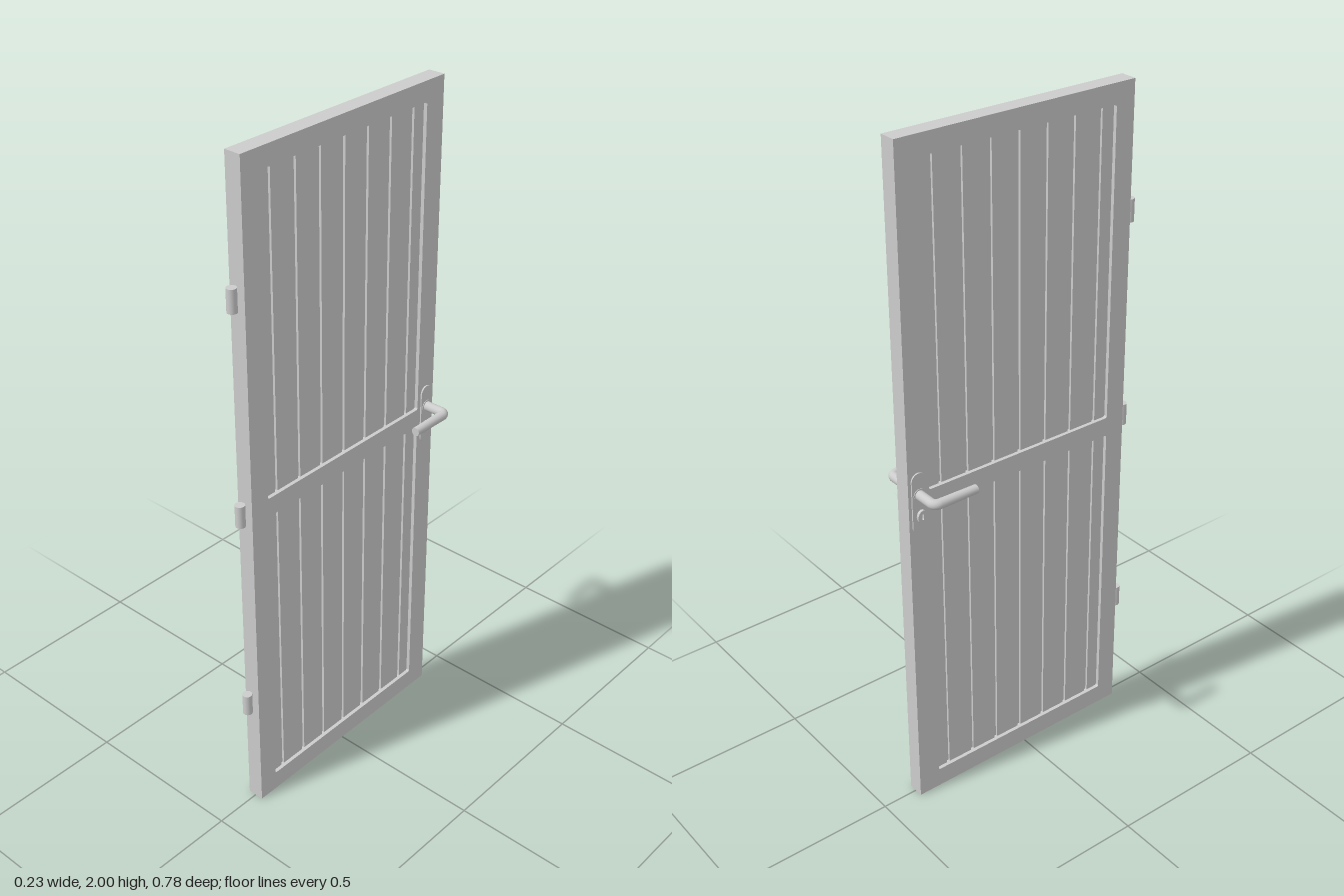
import * as THREE from 'three';

const grey = new THREE.MeshStandardMaterial({ color: 0xcccccc });

function add(parent, name, geometry, x = 0, y = 0, z = 0) {
  const mesh = new THREE.Mesh(geometry, grey);
  mesh.name = name;
  mesh.position.set(x, y, z);
  parent.add(mesh);
  return mesh;
}

// Rounded rectangle in the door plane (shape x becomes world z)
function roundRect(path, x0, y0, x1, y1, r) {
  path.moveTo(x0 + r, y0);
  path.lineTo(x1 - r, y0);
  path.absarc(x1 - r, y0 + r, r, -Math.PI / 2, 0);
  path.lineTo(x1, y1 - r);
  path.absarc(x1 - r, y1 - r, r, 0, Math.PI / 2);
  path.lineTo(x0 + r, y1);
  path.absarc(x0 + r, y1 - r, r, Math.PI / 2, Math.PI);
  path.lineTo(x0, y0 + r);
  path.absarc(x0 + r, y0 + r, r, Math.PI, Math.PI * 1.5);
  return path;
}

// Extrude a door-plane shape along x, centred on x = 0
function slab(shape, thickness) {
  const g = new THREE.ExtrudeGeometry(shape, { depth: thickness, bevelEnabled: false, curveSegments: 10 });
  g.translate(0, 0, -thickness / 2);
  return g.rotateY(-Math.PI / 2);
}

export function createModel() {
  const door = new THREE.Group();
  door.name = 'door';

  const zBack = -0.39, zFront = 0.357, thick = 0.05;
  const z0 = -0.323, z1 = 0.297;
  const openings = [[0.06, 0.973], [1.03, 1.943]];

  // Frame with two openings
  const outline = new THREE.Shape();
  outline.moveTo(zBack, 0);
  outline.lineTo(zFront, 0);
  outline.lineTo(zFront, 2);
  outline.lineTo(zBack, 2);
  outline.closePath();
  for (const [y0, y1] of openings) outline.holes.push(roundRect(new THREE.Path(), z0, y0, z1, y1, 0.006));
  add(door, 'frame', slab(outline, thick));

  // Recessed panels: a core sheet with planks separated by square grooves
  const pitch = 0.089, groove = 0.01, middle = (z0 + z1) / 2;
  const edges = [z0 - 0.01];
  for (let k = -3; k <= 3; k++) edges.push(middle + k * pitch);
  edges.push(z1 + 0.01);
  for (const [y0, y1] of openings) {
    const panel = new THREE.Group();
    panel.name = 'panel';
    door.add(panel);
    const h = y1 - y0 + 0.01, y = (y0 + y1) / 2;
    add(panel, 'panelCore', new THREE.BoxGeometry(0.014, h, z1 - z0 + 0.01), 0, y, middle);
    for (let i = 0; i < edges.length - 1; i++) {
      const a = edges[i] + groove / 2, b = edges[i + 1] - groove / 2;
      add(panel, 'plank', new THREE.BoxGeometry(0.028, h, b - a), 0, y, (a + b) / 2);
    }
  }

  // Hinge barrels
  for (const y of [0.367, 1.008, 1.632])
    add(door, 'hinge', new THREE.CylinderGeometry(0.014, 0.014, 0.066, 24), 0, y, 0.376);

  // Backplate, lever and lock on both faces
  const zHandle = -0.358, yHandle = 1.03;
  for (const s of [1, -1]) {
    const set = new THREE.Group();
    set.name = s > 0 ? 'leftHandle' : 'rightHandle';
    door.add(set);

    const plate = roundRect(new THREE.Shape(), -0.0225, -0.092, 0.0225, 0.092, 0.0224);
    add(set, 'backplate', slab(plate, 0.006), s * 0.0265, 1.003, zHandle);

    // Raised collar around the lever
    const collar = new THREE.CylinderGeometry(0.018, 0.018, 0.006, 24).rotateZ(Math.PI / 2);
    add(set, 'collar', collar, s * 0.0285, yHandle, zHandle);

    // Shank and bend
    const path = new THREE.CurvePath();
    const p = (x, z) => new THREE.Vector3(s * x, yHandle, z);
    path.add(new THREE.LineCurve3(p(0.024, zHandle), p(0.084, zHandle)));
    path.add(new THREE.CubicBezierCurve3(p(0.084, zHandle), p(0.092, zHandle), p(0.0985, -0.351), p(0.0985, -0.342)));
    add(set, 'leverShank', new THREE.TubeGeometry(path, 32, 0.0142, 20));

    // Slightly tapered grip
    const grip = new THREE.CylinderGeometry(0.0128, 0.0142, 0.119, 20).rotateX(Math.PI / 2);
    add(set, 'leverGrip', grip, s * 0.0985, yHandle, -0.2825);

    // Oval lock cylinder with a key slot
    const lock = new THREE.Shape();
    lock.absellipse(0, 0, 0.015, 0.02, 0, Math.PI * 2);
    lock.holes.push(roundRect(new THREE.Path(), -0.003, -0.009, 0.003, 0.009, 0.0029));
    add(set, 'lockCylinder', slab(lock, 0.014), s * 0.031, 0.963, -0.354);
  }

  return door;
}
